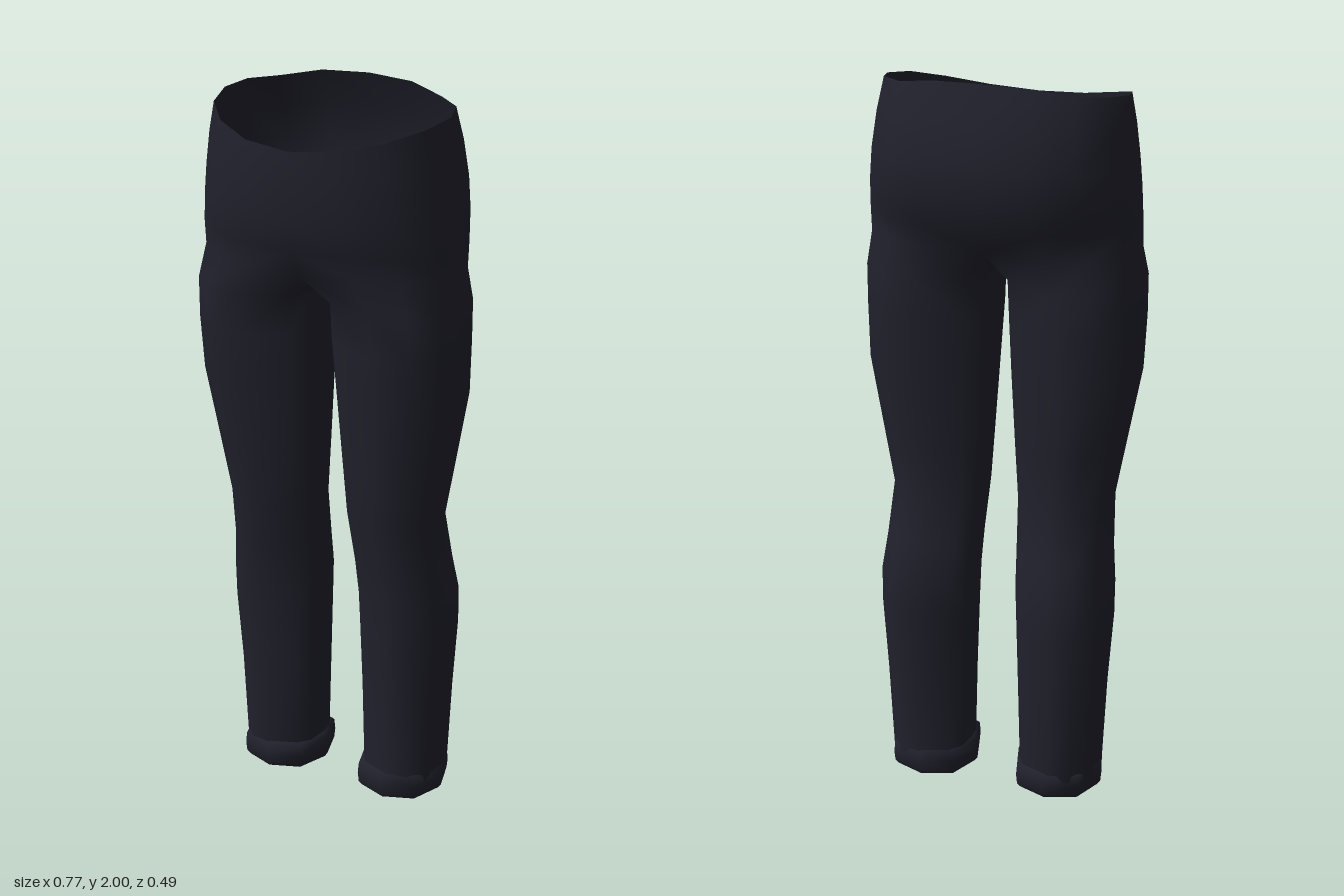
import * as THREE from 'three';
import { mergeVertices } from 'three/addons/utils/BufferGeometryUtils.js';

const rad = THREE.MathUtils.degToRad;
const softPow = (v, p) => Math.sign(v) * Math.pow(Math.abs(v), p);

// Joins two rings of points with quads, upper ring first; side -1 mirrors in x.
function joinRings(out, upper, lower, closed, side) {
  const n = upper.length;
  const count = closed ? n : n - 1;
  for (let i = 0; i < count; i++) {
    const k = (i + 1) % n;
    const quad = [upper[i], lower[i], lower[k], upper[i], lower[k], upper[k]];
    if (side < 0) quad.reverse();
    for (const [x, y, z] of quad) out.push(x * side, y, z);
  }
}

// Turns the collected triangles into one smooth-shaded mesh.
function smoothMesh(name, positions, material) {
  const soup = new THREE.BufferGeometry();
  soup.setAttribute('position', new THREE.Float32BufferAttribute(positions, 3));
  const geometry = mergeVertices(soup, 1e-4);
  geometry.computeVertexNormals();
  const mesh = new THREE.Mesh(geometry, material);
  mesh.name = name;
  return mesh;
}

// Half a hip ring, running from centre front round the side to centre back.
const rimOffsets = [-0.065, -0.055, -0.03, -0.005, 0.01, 0.02, 0.025, 0.045, 0.05];
function hipRing([y, tilt, halfWidth, front, back, cleft]) {
  return rimOffsets.map((offset, i) => {
    const a = (i / 8) * Math.PI;
    const c = Math.cos(a);
    const x = i === 0 || i === 8 ? 0 : halfWidth * Math.pow(Math.sin(a), 0.95);
    const z = c > 0 ? front * c : back * Math.pow(-c, 0.9);
    return [x, y + offset * tilt, i === 8 ? z + cleft : z];
  });
}

// A closed leg ring, rounded between its inner, outer, front and back limits.
const legAngles = [-45, 0, 30, 60, 90, 120, 150, 180, 225, 247, 270, 293];
function legRing([y, inner, outer, front, back], angles = legAngles) {
  const cx = (inner + outer) / 2, rx = (outer - inner) / 2;
  const cz = (front + back) / 2, rz = (front - back) / 2;
  return angles.map((deg) => {
    const a = rad(deg);
    return [cx + rx * softPow(Math.sin(a), 0.88), y, cz + rz * softPow(Math.cos(a), 0.88)];
  });
}

// y, rim tilt, half width, front z, back z, depth of the back cleft
const hipRows = [
  [1.95, 1, 0.335, 0.245, -0.18, 0],
  [1.87, 0.65, 0.35, 0.25, -0.225, 0.004],
  [1.78, 0.3, 0.362, 0.25, -0.253, 0.012],
  [1.70, 0, 0.37, 0.246, -0.247, 0.016],
  [1.62, 0, 0.376, 0.235, -0.215, 0.014],
  [1.55, 0, 0.381, 0.2, -0.178, 0.01],
];
// y, inner x, outer x, front z, back z
const legRows = [
  [1.46, 0.018, 0.385, 0.182, -0.17],
  [1.35, 0.022, 0.385, 0.178, -0.167],
  [1.2, 0.03, 0.38, 0.16, -0.163],
  [1.0, 0.042, 0.342, 0.135, -0.152],
  [0.84, 0.052, 0.312, 0.115, -0.142],
  [0.7, 0.06, 0.32, 0.088, -0.175],
  [0.6, 0.065, 0.33, 0.08, -0.203],
  [0.5, 0.068, 0.33, 0.073, -0.201],
  [0.3, 0.074, 0.315, 0.062, -0.196],
  [0.05, 0.08, 0.302, 0.055, -0.19],
];
const crotch = [[0, 1.495, -0.09], [0, 1.48, 0], [0, 1.49, 0.1]];

// Rolled cuff profile: inset from the widest outline, height
const cuffProfile = [
  [0.022, 0.078], [0.003, 0.07], [0, 0.04], [0.003, 0.012],
  [0.012, 0], [0.024, 0.004], [0.03, 0.05],
];
const cuffAngles = [0, 45, 90, 135, 180, 225, 270, 315];

export function createModel() {
  const group = new THREE.Group();
  group.name = 'trousers';
  const fabric = new THREE.MeshStandardMaterial({ color: 0x21212d, side: THREE.DoubleSide });
  fabric.name = 'dark navy fabric';

  // Hips and both legs form one continuous skin
  const hips = hipRows.map(hipRing);
  const legs = [[...hips[hips.length - 1], ...crotch], ...legRows.map((row) => legRing(row))];
  const skin = [];
  for (const side of [1, -1]) {
    for (let r = 1; r < hips.length; r++) joinRings(skin, hips[r - 1], hips[r], false, side);
    for (let r = 1; r < legs.length; r++) joinRings(skin, legs[r - 1], legs[r], true, side);
  }
  group.add(smoothMesh('hipsAndLegs', skin, fabric));

  // Rolled cuffs
  const cuffRings = cuffProfile.map(([inset, y]) =>
    legRing([y, 0.06 + inset, 0.31 - inset, 0.07 - inset, -0.2 + inset], cuffAngles));
  for (const side of [1, -1]) {
    const cuff = [];
    for (let r = 1; r < cuffRings.length; r++) {
      joinRings(cuff, cuffRings[r - 1], cuffRings[r], true, side);
    }
    group.add(smoothMesh(side > 0 ? 'leftCuff' : 'rightCuff', cuff, fabric));
  }
  return group;
}
